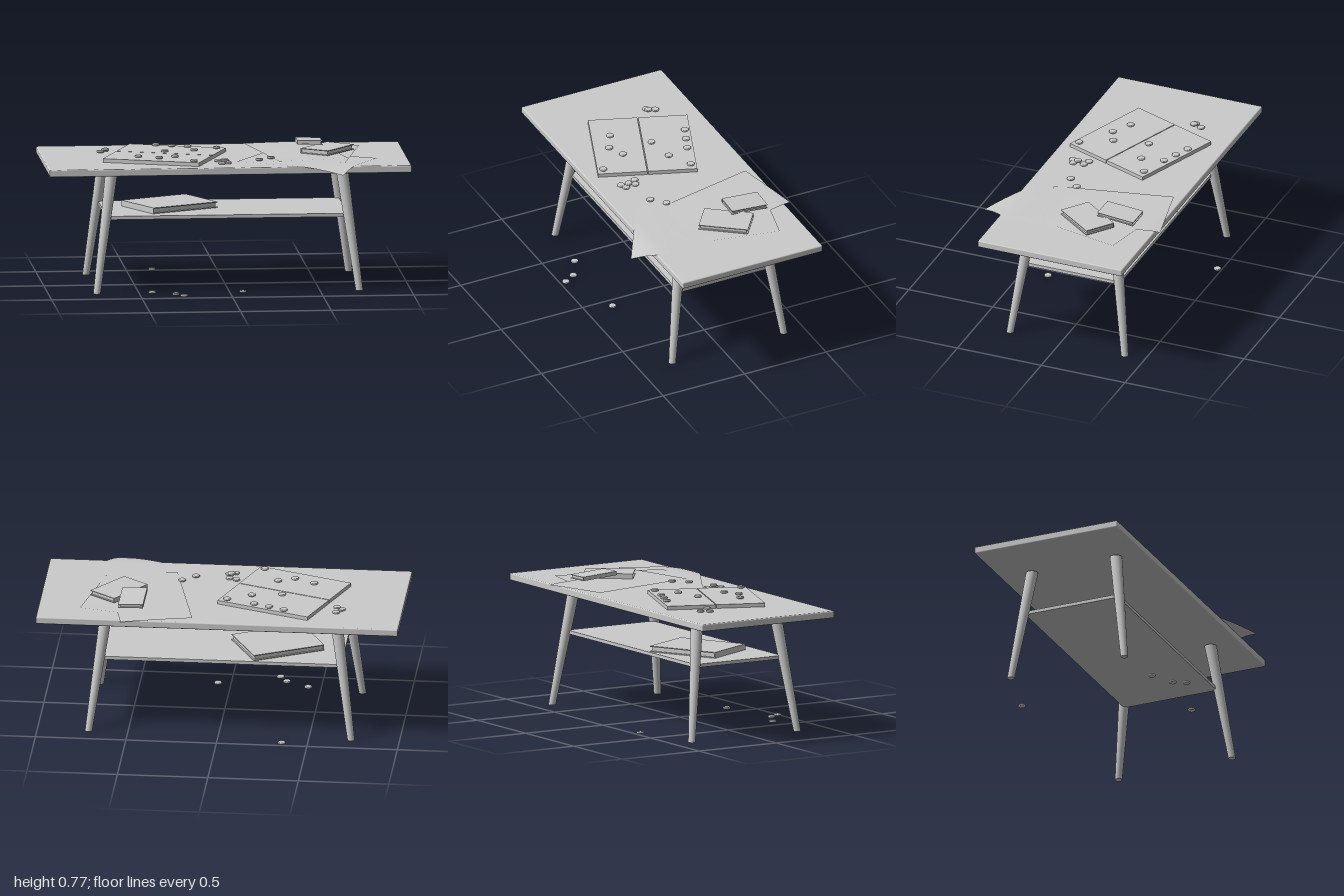
import * as THREE from 'three';
import { RoundedBoxGeometry } from 'three/addons/geometries/RoundedBoxGeometry.js';

const grey = new THREE.MeshStandardMaterial({ color: 0xcccccc });
const thin = new THREE.MeshStandardMaterial({ color: 0xcccccc, side: THREE.DoubleSide });

const TOP = 0.703; // height of the table surface

function add(parent, name, geometry, x = 0, y = 0, z = 0, material = grey) {
  const mesh = new THREE.Mesh(geometry, material);
  mesh.name = name;
  mesh.position.set(x, y, z);
  parent.add(mesh);
  return mesh;
}

// Tapered leg, sheared so that both ends stay level
function legGeometry(dx, dz) {
  const height = 0.658;
  const g = new THREE.CylinderGeometry(0.034, 0.02, height, 28, 1);
  g.translate(0, height / 2, 0);
  const p = g.attributes.position;
  for (let i = 0; i < p.count; i++) {
    const t = 1 - p.getY(i) / height;
    p.setX(i, p.getX(i) + dx * t);
    p.setZ(i, p.getZ(i) + dz * t);
  }
  g.computeVertexNormals();
  return g;
}

// Sheet of paper from three corners (back left, back right, front left), bending over the table edges
function paperGeometry(a, b, d, lift, wave) {
  const g = new THREE.PlaneGeometry(1, 1, 20, 24);
  const p = g.attributes.position;
  for (let i = 0; i < p.count; i++) {
    const u = p.getX(i) + 0.5, v = 0.5 - p.getY(i);
    const x = a[0] + u * (b[0] - a[0]) + v * (d[0] - a[0]);
    const z = a[1] + u * (b[1] - a[1]) + v * (d[1] - a[1]);
    const front = Math.max(0, z - 0.33), back = Math.max(0, -0.44 - z);
    const ripple = wave * Math.sin(u * Math.PI) * (1 - Math.cos(v * 2 * Math.PI));
    p.setXYZ(i, x, TOP + lift + ripple - 1.15 * front * front - back * back, z);
  }
  g.computeVertexNormals();
  return g;
}

// Book lying flat: two covers, a spine on its left and an inset page block
function book(name, w, h, d) {
  const group = new THREE.Group();
  group.name = name;
  const c = h * 0.16;
  for (const s of [-1, 1]) {
    add(group, 'bookCover', new THREE.BoxGeometry(w, c, d), 0, s * (h - c) / 2, 0);
  }
  add(group, 'bookSpine', new THREE.BoxGeometry(c, h - 2 * c, d), -(w - c) / 2, 0, 0);
  add(group, 'bookPages', new THREE.BoxGeometry(w - 0.012, h - 2 * c, d - 0.016), -0.002, 0, 0);
  return group;
}

// Round game piece with softened rims
const pieceGeometry = new THREE.LatheGeometry([
  [0, 0], [0.017, 0], [0.0205, 0.003], [0.0205, 0.009], [0.017, 0.012], [0, 0.012],
].map(([x, y]) => new THREE.Vector2(x, y)), 20);

export function createModel() {
  const model = new THREE.Group();
  model.name = 'coffeeTable';

  // Table top, shelf and splayed legs
  add(model, 'tableTop', new RoundedBoxGeometry(2, 0.04, 0.86, 2, 0.007), 0, TOP - 0.02, -0.05);
  add(model, 'shelf', new THREE.BoxGeometry(1.33, 0.019, 0.56), -0.008, 0.41, -0.04);
  for (const sx of [-1, 1]) {
    for (const sz of [-1, 1]) {
      const name = (sz > 0 ? 'front' : 'back') + (sx > 0 ? 'Left' : 'Right') + 'Leg';
      add(model, name, legGeometry(sx * 0.088, sz * 0.089), -0.008 + sx * 0.637, 0, -0.038 + sz * 0.253);
    }
  }

  // Book on the shelf
  const shelfBook = book('shelfBook', 0.416, 0.033, 0.33);
  shelfBook.position.set(-0.3, 0.436, -0.07);
  shelfBook.rotation.y = 0.474;
  model.add(shelfBook);

  // Folding game board in two halves
  const board = new THREE.Group();
  board.name = 'gameBoard';
  board.position.set(-0.331, TOP + 0.0105, -0.034);
  board.rotation.y = -0.359;
  for (const s of [-1, 1]) {
    add(board, 'boardHalf', new THREE.BoxGeometry(0.55, 0.021, 0.272), 0, 0, s * 0.1385);
  }
  model.add(board);

  // Pieces on the board, on the table and on the floor
  const pieces = [
    ['boardPiece', TOP + 0.021, [[-0.355, -0.305], [-0.27, -0.27], [-0.185, -0.235], [-0.03, -0.18], [-0.325, -0.085],
      [-0.16, -0.11], [-0.485, 0.09], [-0.375, 0.15], [-0.285, 0.11], [-0.195, 0.275]]],
    ['tablePiece', TOP, [[-0.64, -0.265], [-0.668, -0.222], [-0.05, 0.155], [-0.01, 0.17], [-0.037, 0.245], [-0.003, 0.23]]],
    ['stackedPiece', TOP + 0.012, [[-0.64, -0.222], [-0.018, 0.208]]],
    ['paperPiece', TOP + 0.006, [[0.175, 0.17], [0.245, 0.105]]],
    ['floorPiece', 0.004, [[-0.36, -0.48], [-0.43, 0.335], [-0.305, 0.405], [-0.265, 0.47], [0.07, 0.35]]],
  ];
  for (const [name, y, spots] of pieces) {
    for (const [x, z] of spots) add(model, name, pieceGeometry, x, y, z);
  }

  // Loose sheets of paper
  add(model, 'frontPaper', paperGeometry([0.05, 0.18], [0.27, -0.2], [0.61, 0.505], 0.003, 0.001), 0, 0, 0, thin);
  add(model, 'sidePaper', paperGeometry([0.38, -0.42], [0.77, -0.33], [0.25, 0.2], 0.005, 0.001), 0, 0, 0, thin);
  add(model, 'backPaper', paperGeometry([0.14, -0.43], [0.53, -0.513], [0.282, 0.225], 0.008, 0.001), 0, 0, 0, thin);

  // Two small books, one leaning on the other
  const lowerBook = book('lowerBook', 0.175, 0.028, 0.275);
  lowerBook.position.set(0.575, 0.727, -0.097);
  lowerBook.rotation.set(0, -0.64, 0);
  model.add(lowerBook);
  const upperBook = book('upperBook', 0.137, 0.022, 0.215);
  upperBook.position.set(0.485, 0.747, -0.255);
  upperBook.rotation.set(-0.07, -0.02, -0.03);
  model.add(upperBook);

  return model;
}
